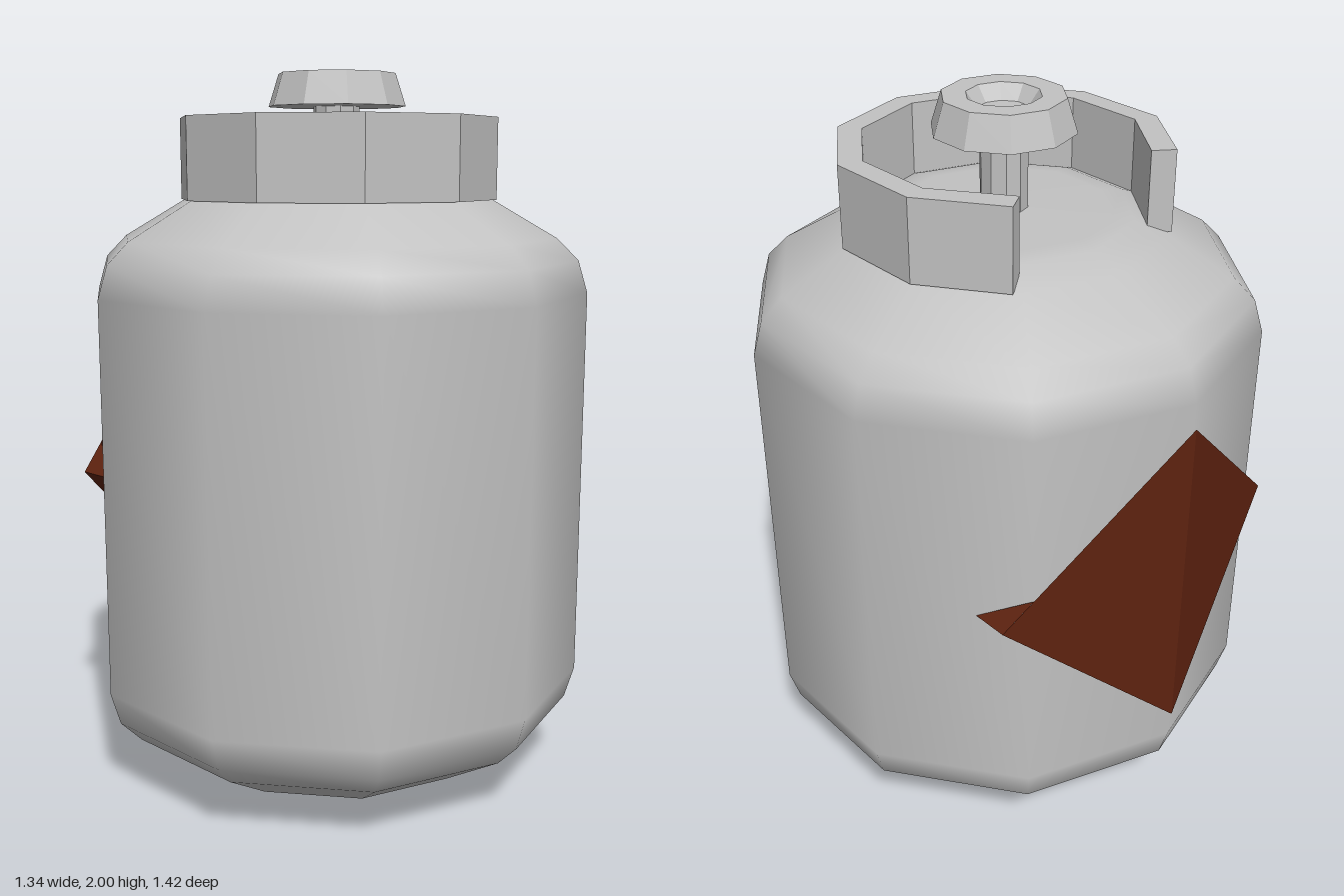
import * as THREE from 'three';

const SIDES = 10;
const CENTRE_Z = 0.006;

// Give every face its own normal so edges stay sharp
function faceted(geometry) {
  const g = geometry.index ? geometry.toNonIndexed() : geometry;
  g.computeVertexNormals();
  return g;
}

function lathe(profile) {
  return new THREE.LatheGeometry(profile.map(([r, y]) => new THREE.Vector2(r, y)), SIDES);
}

export function createModel() {
  const group = new THREE.Group();
  const steel = new THREE.MeshStandardMaterial({ color: 0xc2c2c2 });
  steel.name = 'grey steel';
  const rust = new THREE.MeshStandardMaterial({ color: 0x5e220f, side: THREE.DoubleSide });
  rust.name = 'rust brown';

  const add = (name, geometry, material, z = CENTRE_Z) => {
    const mesh = new THREE.Mesh(geometry, material);
    mesh.name = name;
    mesh.position.z = z;
    group.add(mesh);
  };

  // Tank: the rounded shoulder mirrors the rounded base
  const base = [[0, 0], [0.29, 0.005], [0.35, 0.012], [0.44, 0.045], [0.62, 0.15], [0.68, 0.21], [0.707, 0.3]];
  const shoulder = base.map(([r, y]) => [r, 1.7 - y]).reverse();
  add('tank', lathe([...base, ...shoulder]), steel);

  // Guard collar, open at the back
  const ring = (r) => Array.from({ length: 9 }, (_, i) => {
    const a = ((i - 4) * Math.PI * 2) / SIDES;
    return new THREE.Vector2(Math.sin(a) * r, Math.cos(a) * r);
  });
  const outer = ring(0.45);
  const inner = ring(0.383);
  outer[0].set(-0.28, -0.348);
  outer[8].set(0.28, -0.348);
  const collar = new THREE.ExtrudeGeometry(new THREE.Shape([...outer, ...inner.reverse()]), {
    depth: 0.225, bevelEnabled: false,
  });
  collar.rotateX(Math.PI / 2).translate(0, 1.88, 0);
  add('collar', faceted(collar), steel);

  // Valve stem and dished handwheel
  const stem = new THREE.CylinderGeometry(0.065, 0.065, 0.28, SIDES);
  stem.translate(0, 1.78, 0);
  add('valveStem', faceted(stem), steel);
  add('valveKnob', faceted(lathe([
    [0, 1.91], [0.194, 1.91], [0.165, 2], [0.1, 2], [0.07, 1.96], [0, 1.96],
  ])), steel);

  // Diamond label folded over the back edge, with a wedge at each side tip
  const top = [0, 1.33, -0.709];
  const bottom = [0, 0.38, -0.709];
  const corners = [];
  for (const s of [-1, 1]) {
    const tip = [s * 0.5, 0.855, -0.552];
    const heel = [s * 0.5, 0.855, -0.45];
    for (const [end, y] of [[top, 0.934], [bottom, 0.776]]) {
      const fold = [s * 0.417, y, -0.578];
      const middle = [0, 0.855, -0.709];
      const up = end === top ? 1 : -1;
      const faces = [[end, tip, middle], [fold, heel, tip]];
      for (const [a, b, c] of faces) {
        // Keep each face turned outward on both mirrored sides
        corners.push(...(s * up > 0 ? [a, b, c] : [a, c, b]));
      }
    }
  }
  const label = new THREE.BufferGeometry();
  label.setAttribute('position', new THREE.Float32BufferAttribute(corners.flat(), 3));
  label.computeVertexNormals();
  add('label', label, rust, 0);

  return group;
}
